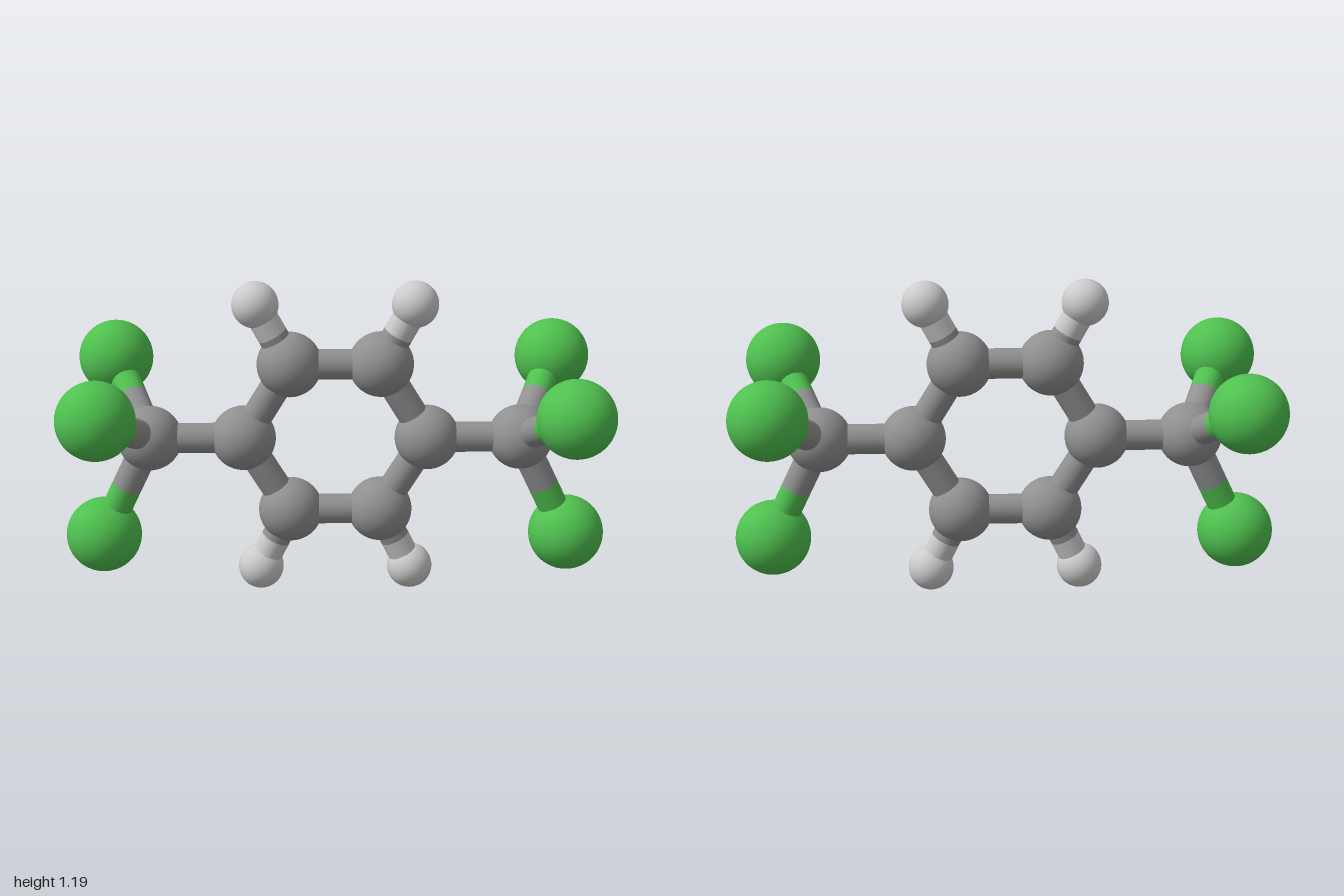
import * as THREE from 'three';

const BOND_RADIUS = 0.055;
const ELEMENTS = {
  carbon: { radius: 0.118, color: 0x909090 },
  hydrogen: { radius: 0.084, color: 0xcccccc },
  chlorine: { radius: 0.139, color: 0x4fc04f },
};

export function createModel() {
  const model = new THREE.Group();
  for (const e of Object.values(ELEMENTS)) {
    e.material = new THREE.MeshStandardMaterial({ color: e.color });
    e.sphere = new THREE.SphereGeometry(e.radius, 48, 32);
  }

  function atom(kind, name, x, y, z = 0) {
    const mesh = new THREE.Mesh(ELEMENTS[kind].sphere, ELEMENTS[kind].material);
    mesh.name = name;
    mesh.position.set(x, y, z);
    model.add(mesh);
    return { kind, name, position: mesh.position };
  }

  // One open cylinder from p to q; its ends sit inside atoms or meet the other half
  function rod(p, q, kind, name) {
    const dir = q.clone().sub(p);
    const geometry = new THREE.CylinderGeometry(BOND_RADIUS, BOND_RADIUS, dir.length(), 32, 1, true);
    const mesh = new THREE.Mesh(geometry, ELEMENTS[kind].material);
    mesh.name = name;
    mesh.position.copy(p).add(q).multiplyScalar(0.5);
    mesh.quaternion.setFromUnitVectors(new THREE.Vector3(0, 1, 0), dir.normalize());
    model.add(mesh);
  }

  // Bond in two halves, each in the colour of its own atom
  function bond(a, b) {
    if (a.kind === b.kind) return rod(a.position, b.position, a.kind, `${a.kind}Bond`);
    const mid = a.position.clone().lerp(b.position, 0.5);
    rod(a.position, mid, a.kind, `${a.kind}HalfBond`);
    rod(mid, b.position, b.kind, `${b.kind}HalfBond`);
  }

  const sides = [];
  for (const [s, side] of [[1, 'left'], [-1, 'right']]) {
    // Half of the six-carbon ring
    const outer = atom('carbon', `${side}RingCarbon`, s * 0.335, 0.6);
    const upper = atom('carbon', `${side}UpperRingCarbon`, s * 0.165, 0.882);
    const lower = atom('carbon', `${side}LowerRingCarbon`, s * 0.165, 0.316);
    bond(outer, upper);
    bond(outer, lower);

    // Ring hydrogens
    bond(upper, atom('hydrogen', `${side}UpperHydrogen`, s * 0.285, 1.106));
    bond(lower, atom('hydrogen', `${side}LowerHydrogen`, s * 0.278, 0.084));

    // End carbon with three chlorines
    const end = atom('carbon', `${side}EndCarbon`, s * 0.677, 0.6);
    bond(outer, end);
    bond(end, atom('chlorine', `${side}FrontChlorine`, s * 0.826, 0.798, 0.344));
    bond(end, atom('chlorine', `${side}BackChlorine`, s * 0.826, 0.798, -0.344));
    bond(end, atom('chlorine', `${side}LowerChlorine`, s * 0.861, 0.217));
    sides.push({ upper, lower });
  }

  // Bonds that join the two halves of the ring
  bond(sides[0].upper, sides[1].upper);
  bond(sides[0].lower, sides[1].lower);
  return model;
}
